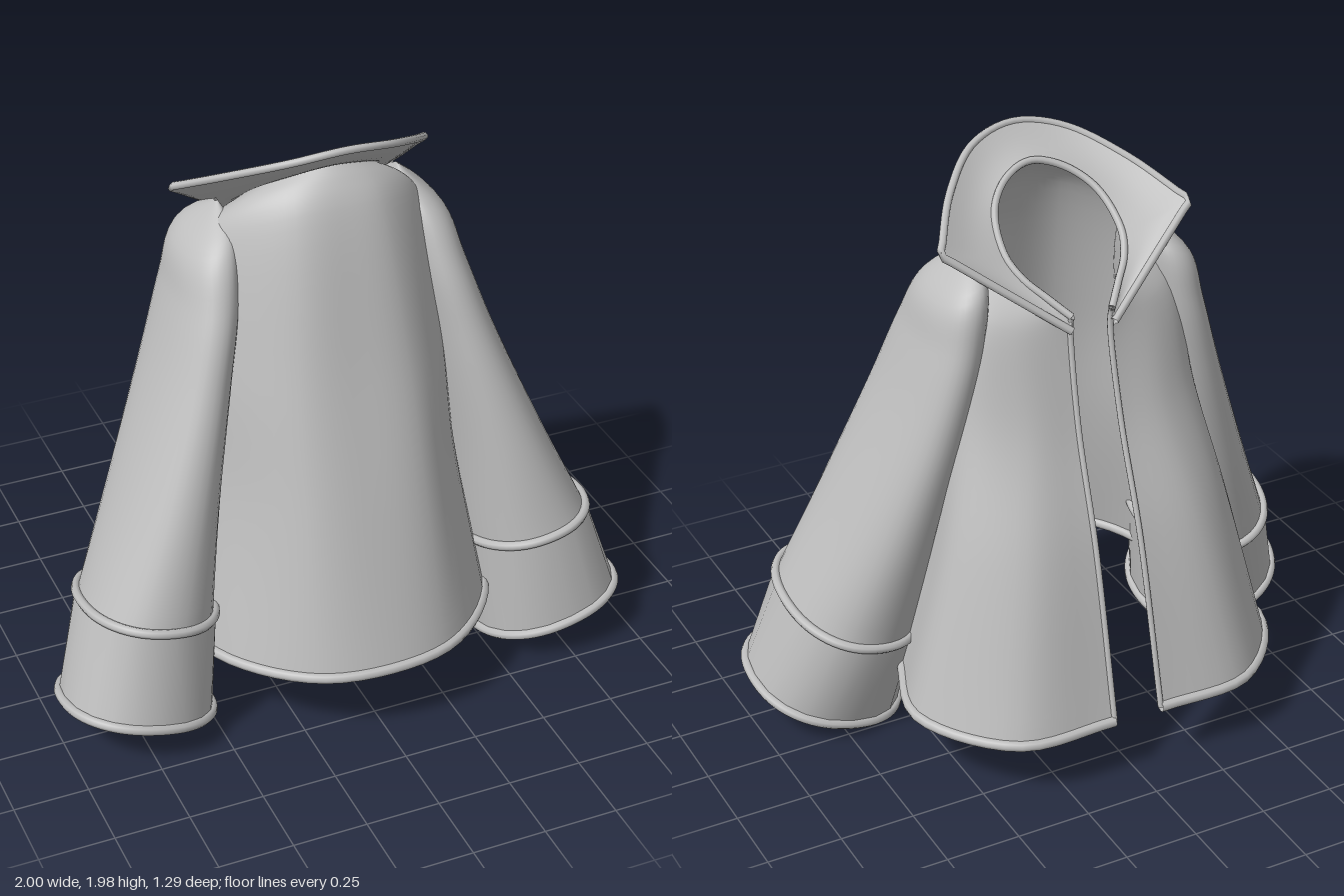
import * as THREE from 'three';

const cloth = new THREE.MeshStandardMaterial({ color: 0xbfbfbf, side: THREE.DoubleSide });
cloth.name = 'grey cloth';
const V = (x, y, z) => new THREE.Vector3(x, y, z);

function add(parent, name, geometry) {
  const mesh = new THREE.Mesh(geometry, cloth);
  mesh.name = name;
  parent.add(mesh);
}

const smoothCurve = (points, closed = false) => new THREE.CatmullRomCurve3(points, closed, 'centripetal');
const piping = (points, radius, closed = false) =>
  new THREE.TubeGeometry(smoothCurve(points, closed), 72, radius, 8, closed);

// Smooth each row of points along its length, then each column between rows
function smoothGrid(rows, across, down, closed = false) {
  const wide = rows.map(r => {
    const curve = smoothCurve(r, closed);
    return Array.from({ length: closed ? across : across + 1 }, (_, i) => curve.getPoint(i / across));
  });
  const cols = wide[0].map((_, i) => smoothCurve(wide.map(r => r[i])));
  return Array.from({ length: down + 1 }, (_, j) => cols.map(c => c.getPoint(j / down)));
}

// Skin a grid of points
function skin(grid, closed = false) {
  const n = grid[0].length, index = [];
  for (let j = 0; j < grid.length - 1; j++) {
    for (let i = 0; i < (closed ? n : n - 1); i++) {
      const a = j * n + i, b = j * n + (i + 1) % n;
      index.push(a, b, b + n, a, b + n, a + n);
    }
  }
  const g = new THREE.BufferGeometry().setFromPoints(grid.flat());
  g.setIndex(index);
  g.computeVertexNormals();
  return g;
}

// Mirror a half outline into a whole row
const wholeRow = half => [...half.slice(1).reverse().map(p => V(-p.x, p.y, p.z)), ...half];

// Body level: base height, slope along z, half outline as x, z pairs
function bodyRow(y, slope, ...xz) {
  const half = [];
  for (let i = 0; i < xz.length; i += 2) half.push(V(xz[i], y + slope * xz[i + 1], xz[i + 1]));
  return wholeRow(half);
}

function makeBody(group) {
  const grid = smoothGrid([
    bodyRow(.255, .04, 0, .63, .24, .58, .46, .36, .56, -.02, .64, -.32, .42, -.6, .085, -.62),
    bodyRow(.8, 0, 0, .49, .22, .45, .41, .2, .47, -.1, .49, -.31, .32, -.465, .08, -.475),
    bodyRow(1.2, .08, 0, .365, .2, .34, .38, .15, .42, -.08, .4, -.24, .25, -.335, .075, -.345),
    bodyRow(1.63, .55, 0, .22, .15, .2, .32, .07, .38, -.06, .345, -.18, .24, -.245, .07, -.28),
    bodyRow(1.72, .68, 0, .17, .13, .145, .26, .055, .3, -.05, .265, -.145, .18, -.225, .072, -.285),
    bodyRow(1.78, .85, 0, .12, .1, .09, .18, .015, .205, -.1, .178, -.17, .125, -.23, .07, -.29),
  ], 72, 36);
  add(group, 'jacketBody', skin(grid));
  // rolled hem and opening edges
  add(group, 'hem', piping(grid[0], .018));
  add(group, 'openingEdgeRight', piping(grid.map(r => r[0]), .01));
  add(group, 'openingEdgeLeft', piping(grid.map(r => r[72]), .01));
  return grid[36];
}

// Collar folded outwards from the neckline, pointed at both tips
function makeCollar(group, neck) {
  const tip = V(.435, 1.765, -.13), end = V(.075, 1.5, -.3);
  const back = smoothCurve(wholeRow([V(0, 1.98, .24), V(.16, 1.95, .2), V(.31, 1.87, .06), tip]));
  const outer = neck.map((_, i) => {
    if (i >= 18 && i <= 54) return back.getPoint((i - 18) / 36);
    const p = tip.clone().lerp(end, (Math.abs(i - 36) - 18) / 18);
    if (i < 36) p.x *= -1;
    return p;
  });
  const layer = drop => Array.from({ length: 7 }, (_, j) => neck.map((p, i) => {
    const q = p.clone().lerp(outer[i], j / 6);
    q.y -= .012 * Math.sin(j / 6 * Math.PI) + (j ? drop : 0);
    return q;
  }));
  add(group, 'collar', skin(layer(0)));
  add(group, 'collarUnderside', skin(layer(.022)));
  add(group, 'collarEdge', piping(layer(.01)[6], .013));
  add(group, 'neckEdge', piping(neck, .012));
}

// Tilted, slightly squared ring: centre, radii, slope along x and z
function ring(side, [cx, cy, cz, rx, rz, ax, az], grow = 0) {
  return Array.from({ length: 20 }, (_, i) => {
    const a = i / 20 * Math.PI * 2, c = Math.cos(a), s = Math.sin(a);
    const dx = Math.sign(c) * Math.abs(c) ** .9 * (rx + grow);
    const dz = Math.sign(s) * Math.abs(s) ** .9 * (rz + grow);
    return V(side * (cx + dx), cy + ax * dx + az * dz, cz + dz);
  });
}

function makeSleeve(side) {
  const group = new THREE.Group();
  group.name = side > 0 ? 'leftSleeve' : 'rightSleeve';
  const cuffTop = [.67, .44, .165, .205, .27, .19, .18];
  const cuffEnd = [.74, .105, .235, .245, .25, .25, .2];
  const levels = [
    cuffTop,
    [.57, .8, .095, .155, .27, .1, .1],
    [.455, 1.2, .02, .115, .25, 0, .04],
    [.39, 1.45, -.02, .1, .22, -.1, 0],
    [.36, 1.62, -.05, .085, .16, -.4, 0],
    [.31, 1.72, -.06, .004, .008, -.6, 0],
  ];
  add(group, 'sleeve', skin(smoothGrid(levels.map(l => ring(side, l)), 40, 30, true), true));
  add(group, 'cuff', skin([ring(side, cuffTop, .01), ring(side, cuffEnd)], true));
  add(group, 'cuffSeam', piping(ring(side, cuffTop, .006), .016, true));
  add(group, 'cuffRim', piping(ring(side, cuffEnd), .017, true));
  // lining set back inside the cuff
  const lining = ring(side, [.725, .19, .22, .23, .25, .25, .2]);
  add(group, 'cuffLining', skin([lining, lining.map(() => V(side * .7, .3, .19))], true));
  return group;
}

export function createModel() {
  const jacket = new THREE.Group();
  jacket.name = 'jacket';
  const neck = makeBody(jacket);
  makeCollar(jacket, neck);
  for (const side of [1, -1]) jacket.add(makeSleeve(side));
  return jacket;
}
